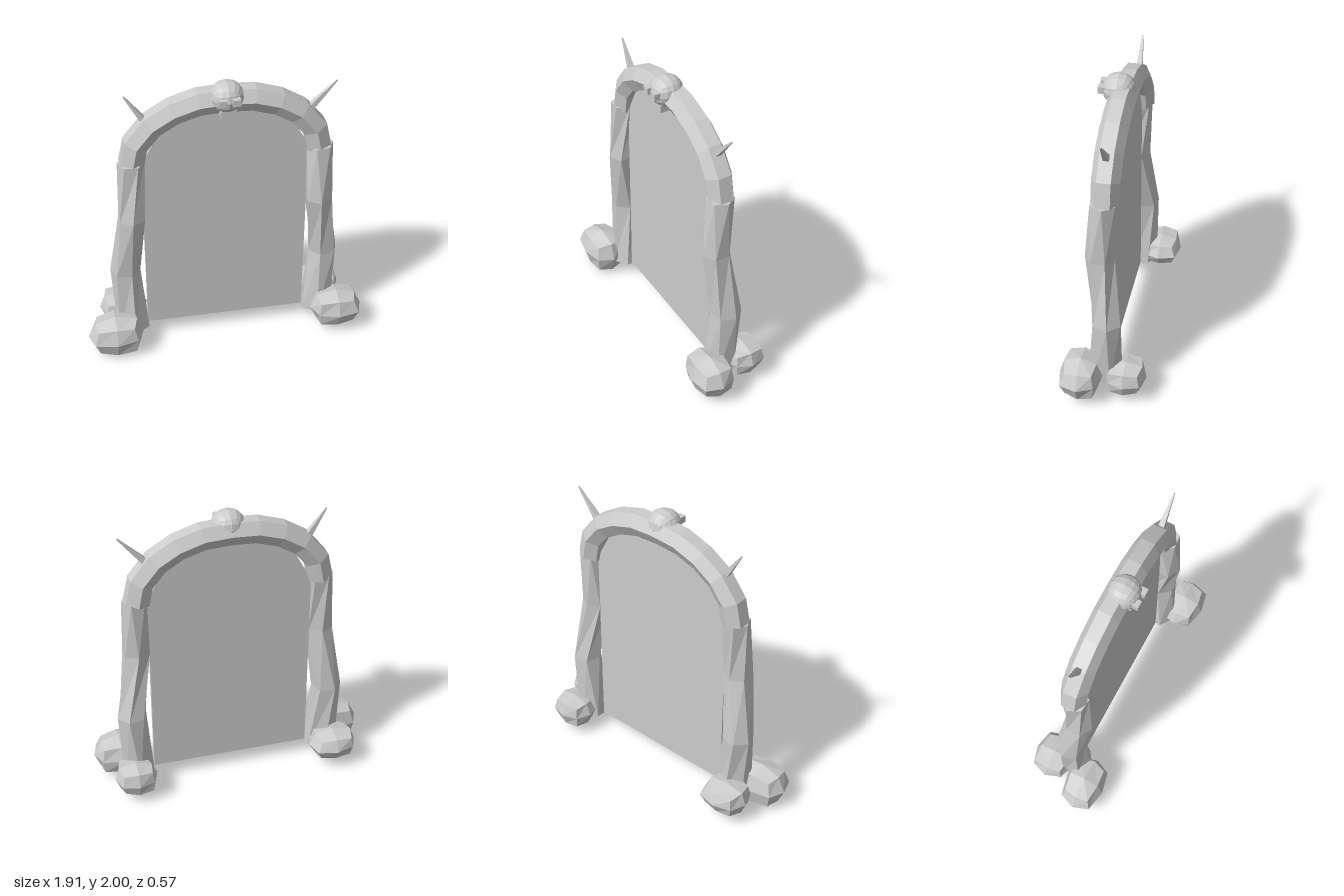
import * as THREE from 'three';

const V = (x, y, z) => new THREE.Vector3(x, y, z);
const stone = new THREE.MeshStandardMaterial({ name: 'stoneGrey', color: 0xcccccc, flatShading: true });

function add(group, name, geometry, x = 0, y = 0, z = 0) {
  const mesh = new THREE.Mesh(geometry, stone);
  mesh.name = name;
  mesh.position.set(x, y, z);
  group.add(mesh);
  return mesh;
}

// six-sided ring around a centre; u and v span its plane
function hexRing(c, r, u, v, twist = 0) {
  return Array.from({ length: 6 }, (_, j) => {
    const a = j * Math.PI / 3 + twist;
    return c.clone().addScaledVector(u, r * Math.cos(a)).addScaledVector(v, r * Math.sin(a));
  });
}

// skin between rings, with end caps
function loft(rings) {
  const n = rings[0].length, last = (rings.length - 1) * n, index = [];
  for (let i = 0; i < rings.length - 1; i++) {
    for (let j = 0; j < n; j++) {
      const a = i * n + j, b = i * n + (j + 1) % n;
      index.push(a, b, b + n, a, b + n, a + n);
    }
  }
  for (let j = 1; j < n - 1; j++) index.push(0, j + 1, j, last, last + j, last + j + 1);
  const g = new THREE.BufferGeometry().setFromPoints(rings.flat());
  g.setIndex(index);
  g.computeVertexNormals();
  return g;
}

// box grid rounded towards an ellipsoid, with optional uneven corners
function boulder(rx, ry, rz, segments, power, rough, seed = 0) {
  const g = new THREE.BoxGeometry(2, 2, 2, segments, segments, segments);
  const p = g.attributes.position, v = V(0, 0, 0);
  for (let i = 0; i < p.count; i++) {
    v.fromBufferAttribute(p, i);
    const bump = 1 + rough * Math.sin(v.x * 5.1 + v.y * 3.7 + v.z * 7.3 + seed);
    const onAxis = Math.abs(v.x) + Math.abs(v.y) + Math.abs(v.z) < 1.01;
    v.multiplyScalar((onAxis ? 1 : bump) / Math.pow(v.length(), power));
    p.setXYZ(i, v.x * rx, v.y * ry, v.z * rz);
  }
  g.computeVertexNormals();
  return g;
}

export function createModel() {
  const model = new THREE.Group();
  model.name = 'stoneGateway';
  const X = V(1, 0, 0), Z = V(0, 0, 1), cx = 0.018;

  // arch
  const half = [[0.61, 1.445], [0.58, 1.59], [0.475, 1.72], [0.335, 1.805], [0.175, 1.855]];
  const path = [
    ...half.map(([x, y]) => V(cx - x, y, 0)),
    V(cx, 1.865, 0),
    ...half.slice().reverse().map(([x, y]) => V(cx + x, y, 0)),
  ];
  add(model, 'arch', loft(path.map((c, i) => {
    const t = path[Math.min(i + 1, path.length - 1)].clone().sub(path[Math.max(i - 1, 0)]).normalize();
    return hexRing(c, 0.09, Z, t.cross(Z));
  })));

  // pillars: x, y, z, radius, twist in degrees
  const pillars = {
    rightPillar: [[-0.635, 0.1, 0, 0.118, 5], [-0.667, 0.58, -0.018, 0.102, 20], [-0.61, 1.04, 0.033, 0.095, 0], [-0.595, 1.462, 0.01, 0.089, 25]],
    leftPillar: [[0.665, 0.1, 0, 0.115, -5], [0.7, 0.58, -0.018, 0.102, -20], [0.64, 1.05, 0.033, 0.095, 0], [0.637, 1.462, 0.01, 0.089, -25]],
  };
  for (const [name, rows] of Object.entries(pillars)) {
    add(model, name, loft(rows.map(([x, y, z, r, d]) => hexRing(V(x, y, z), r, Z, X, d * Math.PI / 180))));
  }

  // slab filling the doorway
  const door = new THREE.Shape();
  [[-0.53, 0.115], [0.56, 0.115], [0.56, 1.4], [0.535, 1.5], [0.46, 1.64], [0.33, 1.73], [0.18, 1.785],
    [-0.14, 1.785], [-0.29, 1.73], [-0.42, 1.64], [-0.495, 1.5], [-0.53, 1.4]]
    .forEach(([x, y], i) => (i ? door.lineTo(x, y) : door.moveTo(x, y)));
  add(model, 'doorSlab', new THREE.ExtrudeGeometry(door, { depth: 0.03, bevelEnabled: false }), 0, 0, -0.015);

  // boulders at the feet: centre, then radii
  [
    ['frontRightBoulder', -0.768, 0.147, 0.135, 0.19, 0.147, 0.14],
    ['frontLeftBoulder', 0.775, 0.172, 0.14, 0.178, 0.136, 0.142],
    ['backRightBoulder', -0.685, 0.165, -0.145, 0.165, 0.106, 0.145],
    ['backLeftBoulder', 0.715, 0.16, -0.145, 0.145, 0.11, 0.138],
  ].forEach(([name, x, y, z, rx, ry, rz], i) => {
    add(model, name, boulder(rx, ry, rz, 2, 0.78, 0.05, i * 1.7), x, y, z);
  });

  // carved head on the keystone
  const head = new THREE.Group();
  head.name = 'head';
  head.position.set(cx, 1.897, 0.032);
  model.add(head);
  add(head, 'skull', boulder(0.11, 0.103, 0.108, 4, 1, 0));
  for (const s of [-1, 1]) add(head, 'eye', new THREE.BoxGeometry(0.05, 0.045, 0.06), s * 0.043, 0.01, 0.093);
  add(head, 'jaw', new THREE.BoxGeometry(0.1, 0.05, 0.07), 0, -0.098, 0.035);

  // spikes on the shoulders: base point and tip
  [
    ['rightSpike', V(-0.49, 1.74, 0), V(-0.62, 1.94, 0)],
    ['leftSpike', V(0.55, 1.72, 0), V(0.73, 1.915, 0)],
  ].forEach(([name, base, tip]) => {
    const dir = tip.clone().sub(base), mid = base.clone().add(tip).multiplyScalar(0.5);
    const g = new THREE.CylinderGeometry(0.006, 0.03, dir.length(), 4).rotateY(Math.PI / 4);
    const spike = add(model, name, g, mid.x, mid.y, mid.z);
    spike.quaternion.setFromUnitVectors(V(0, 1, 0), dir.normalize());
  });

  return model;
}
